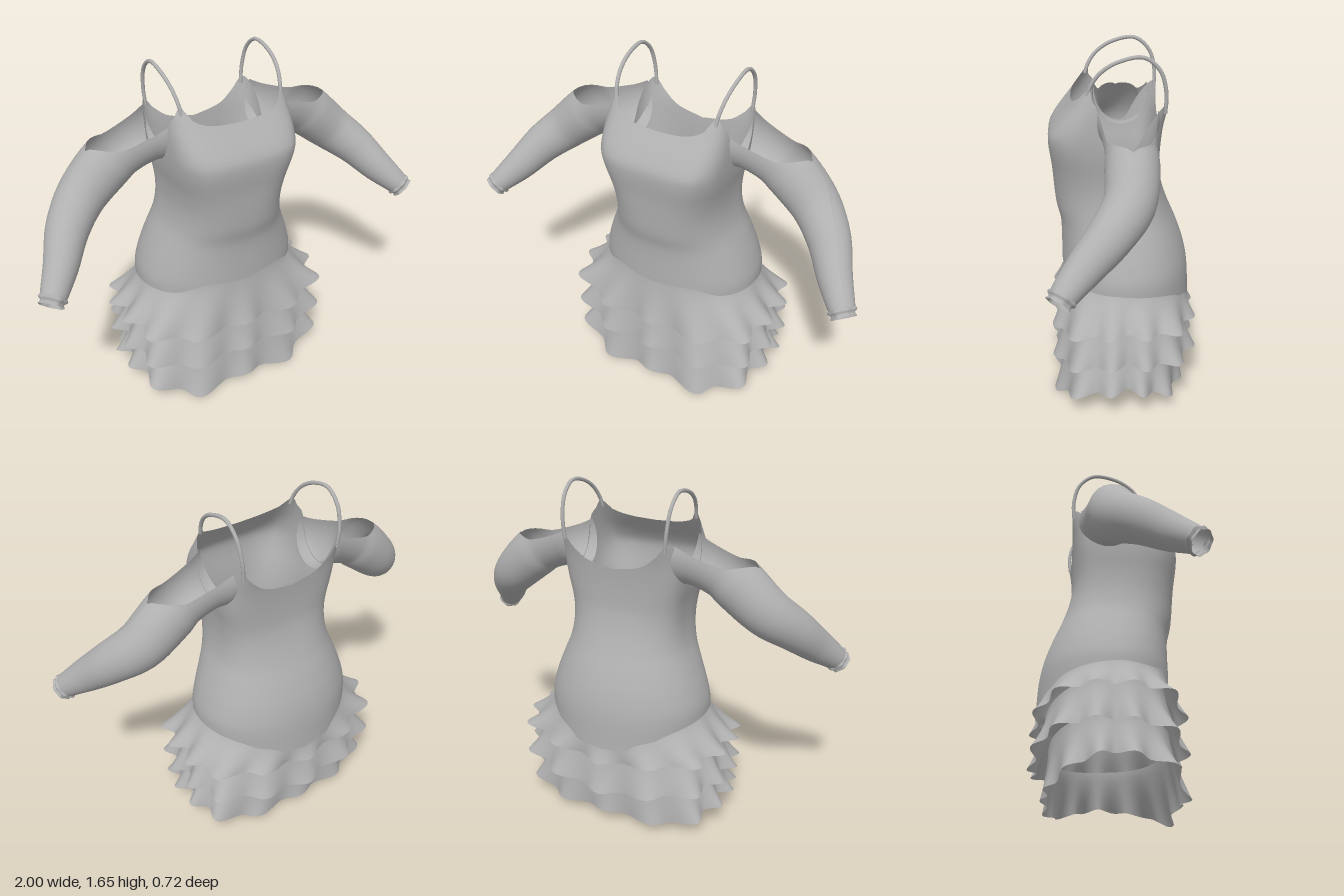
import * as THREE from 'three';

const fabric = new THREE.MeshStandardMaterial({ color: 0xb0b0b0, side: THREE.DoubleSide });
fabric.name = 'greyFabric';

// Smooth interpolation through [key, value] pairs.
function table(...p) {
  const slope = (i) => {
    const a = p[Math.max(i - 1, 0)], b = p[Math.min(i + 1, p.length - 1)];
    return (b[1] - a[1]) / (b[0] - a[0]);
  };
  return (k) => {
    if (k <= p[0][0]) return p[0][1];
    if (k >= p[p.length - 1][0]) return p[p.length - 1][1];
    let i = 0;
    while (k > p[i + 1][0]) i++;
    const h = p[i + 1][0] - p[i][0], t = (k - p[i][0]) / h, t2 = t * t, t3 = t2 * t;
    return (2 * t3 - 3 * t2 + 1) * p[i][1] + (t3 - 2 * t2 + t) * h * slope(i)
      + (3 * t2 - 2 * t3) * p[i + 1][1] + (t3 - t2) * h * slope(i + 1);
  };
}

// Grid surface from point(u, v); closed joins the last column to the first.
function surface(name, cols, rows, point, closed, flip = false) {
  const pos = [], idx = [], n = closed ? cols : cols + 1;
  for (let j = 0; j <= rows; j++)
    for (let i = 0; i < n; i++) pos.push(...point(i / cols, j / rows));
  for (let j = 0; j < rows; j++)
    for (let i = 0; i < cols; i++) {
      const a = j * n + i, b = j * n + (i + 1) % n, c = a + n, d = b + n;
      if (flip) idx.push(a, c, b, b, c, d);
      else idx.push(a, b, c, b, d, c);
    }
  const g = new THREE.BufferGeometry();
  g.setAttribute('position', new THREE.Float32BufferAttribute(pos, 3));
  g.setIndex(idx);
  g.computeVertexNormals();
  const mesh = new THREE.Mesh(g, fabric);
  mesh.name = name;
  return mesh;
}

// Rounded-rectangle outline; angle 0 is the front, depth differs front and back.
function outline(a, w, front, back, n) {
  const s = Math.sin(a), c = Math.cos(a);
  const r = Math.pow(Math.abs(s) ** n + Math.abs(c) ** n, -1 / n);
  return [w * s * r, (c > 0 ? front : back) * c * r];
}

const degrees = (a) => {
  const d = (a * 180) / Math.PI;
  return d > 180 ? 360 - d : d;
};
const mix = THREE.MathUtils.lerp;

// Fitted bodice from the hip hem to the neckline, cut low at the arms
function makeBodice() {
  const top = table([0, 1.415], [25, 1.425], [38, 1.455], [45, 1.51], [52, 1.465], [62, 1.42], [75, 1.27],
    [90, 1.22], [105, 1.25], [118, 1.34], [128, 1.41], [135, 1.425], [142, 1.375], [155, 1.31], [180, 1.28]);
  const hem = table([0, 0.61], [30, 0.62], [50, 0.58], [90, 0.57], [130, 0.53], [155, 0.45], [180, 0.43]);
  const w = table([0.43, 0.395], [0.6, 0.405], [0.7, 0.38], [0.8, 0.34], [0.9, 0.298], [1, 0.28],
    [1.1, 0.282], [1.2, 0.297], [1.3, 0.303], [1.4, 0.3], [1.52, 0.285]);
  const front = table([0.43, 0.29], [0.6, 0.295], [0.82, 0.297], [0.92, 0.318], [1.1, 0.332], [1.26, 0.345],
    [1.32, 0.315], [1.42, 0.235], [1.52, 0.165]);
  const back = table([0.43, 0.33], [0.6, 0.32], [0.7, 0.3], [0.8, 0.265], [0.9, 0.222], [1, 0.188],
    [1.1, 0.17], [1.3, 0.177], [1.42, 0.205]);
  const n = table([0.43, 2.1], [0.8, 2.25], [1, 2.7], [1.15, 3.5], [1.3, 4.4], [1.5, 5]);
  return surface('bodice', 96, 40, (u, v) => {
    const a = u * Math.PI * 2, d = degrees(a), y = mix(hem(d), top(d), v);
    const [x, z] = outline(a, w(y), front(y), back(y), n(y));
    return [x, y, z];
  }, true);
}

// Flared ruffle tier with fourteen folds, squarer in front; sizes are [half width, front, back, squareness]
function makeRuffle(name, top, hem, topSize, hemSize) {
  return surface(name, 168, 14, (u, v) => {
    const a = u * Math.PI * 2, d = degrees(a), k = v ** 1.4;
    const [w, front, back, n] = topSize.map((s, i) => mix(s, hemSize[i], k));
    const fold = 1 + 0.06 * v * v * Math.cos(14 * a);
    const [x, z] = outline(a, w, front, back, n + 0.5 * k * Math.cos(a));
    return [x * fold, mix(top(d), hem(d), v), z * fold];
  }, true, true);
}

// Off-shoulder sleeve: an open trough near the body that closes into a tube
const armPath = new THREE.CatmullRomCurve3([
  [0.272, 1.36, -0.01], [0.36, 1.34, -0.01], [0.475, 1.29, -0.01], [0.545, 1.238, -0.01], [0.67, 1.13, 0.01],
  [0.773, 1.04, 0.09], [0.855, 0.94, 0.196], [0.922, 0.868, 0.272], [0.95, 0.835, 0.3],
].map((p) => new THREE.Vector3(...p)));
const armDrop = table([0, 0.15], [1, 0.133], [2, 0.125], [3, 0.125], [4, 0.113], [5, 0.098], [6, 0.08], [7, 0.06], [8, 0.05]);
const armWide = table([0, 0.142], [1, 0.122], [2, 0.11], [3, 0.115], [4, 0.108], [5, 0.095], [6, 0.076], [7, 0.06], [8, 0.05]);
const armWrap = table([0, 112], [1, 106], [2, 115], [2.5, 142], [3, 180], [3.01, 180], [8, 180]);

function armPoint(t, u, side, swell = 1) {
  const k = t * 8, c = armPath.getPoint(t), dir = armPath.getTangent(t);
  const across = dir.clone().cross(new THREE.Vector3(0, 1, 0)).normalize();
  const up = across.clone().cross(dir);
  const wrap = Math.min(armWrap(k), 180) * Math.PI / 180, a = mix(-wrap, wrap, u);
  c.addScaledVector(across, Math.sin(a) * armWide(k) * swell).addScaledVector(up, -Math.cos(a) * armDrop(k) * swell);
  return [c.x * side, c.y, c.z];
}

function makeSleeve(side) {
  const g = new THREE.Group();
  g.name = side > 0 ? 'leftSleeve' : 'rightSleeve';
  g.add(surface('sleeve', 32, 44, (u, v) => armPoint(v * 0.93, u, side), false, side < 0));
  // Gathered cuff with a small pinched rim
  const swell = table([0, 0.95], [0.3, 1.13], [0.6, 0.92], [1, 1.1]);
  g.add(surface('cuff', 32, 8, (u, v) =>
    armPoint(mix(0.9, 1, v), u, side, swell(v) * (1 + 0.05 * Math.cos(u * Math.PI * 14))), false, side < 0));
  return g;
}

// Thin shoulder strap arching from the front neckline to the back
function makeStrap(side) {
  const path = new THREE.CatmullRomCurve3([
    [0.25, 1.47, 0.165], [0.256, 1.52, 0.147], [0.264, 1.575, 0.105], [0.27, 1.62, 0.03], [0.27, 1.637, -0.08],
    [0.268, 1.58, -0.15], [0.262, 1.48, -0.178], [0.255, 1.39, -0.175],
  ].map(([x, y, z]) => new THREE.Vector3(x * side, y, z)));
  const strap = new THREE.Mesh(new THREE.TubeGeometry(path, 40, 0.009, 8), fabric);
  strap.name = side > 0 ? 'leftStrap' : 'rightStrap';
  return strap;
}

export function createModel() {
  const dress = new THREE.Group();
  dress.name = 'ruffledDress';
  dress.add(makeBodice());
  dress.add(makeRuffle('upperRuffle',
    table([0, 0.635], [50, 0.6], [90, 0.59], [140, 0.53], [180, 0.46]),
    table([0, 0.375], [28, 0.367], [52, 0.405], [90, 0.425], [135, 0.4], [180, 0.355]),
    [0.385, 0.28, 0.315, 2.2], [0.52, 0.333, 0.336, 3.2]));
  dress.add(makeRuffle('middleRuffle',
    table([0, 0.48], [90, 0.49], [140, 0.44], [180, 0.4]),
    table([0, 0.215], [28, 0.2], [52, 0.24], [90, 0.268], [135, 0.24], [180, 0.19]),
    [0.43, 0.275, 0.285, 2.4], [0.52, 0.335, 0.34, 3.2]));
  dress.add(makeRuffle('lowerRuffle',
    table([0, 0.3], [90, 0.31], [180, 0.27]),
    table([0, 0.04], [28, 0.003], [38, 0.04], [52, 0.09], [90, 0.13], [115, 0.1], [145, 0.045], [180, 0.05]),
    [0.44, 0.285, 0.265, 2.4], [0.51, 0.333, 0.28, 3.2]));
  for (const side of [1, -1]) dress.add(makeSleeve(side), makeStrap(side));
  return dress;
}
